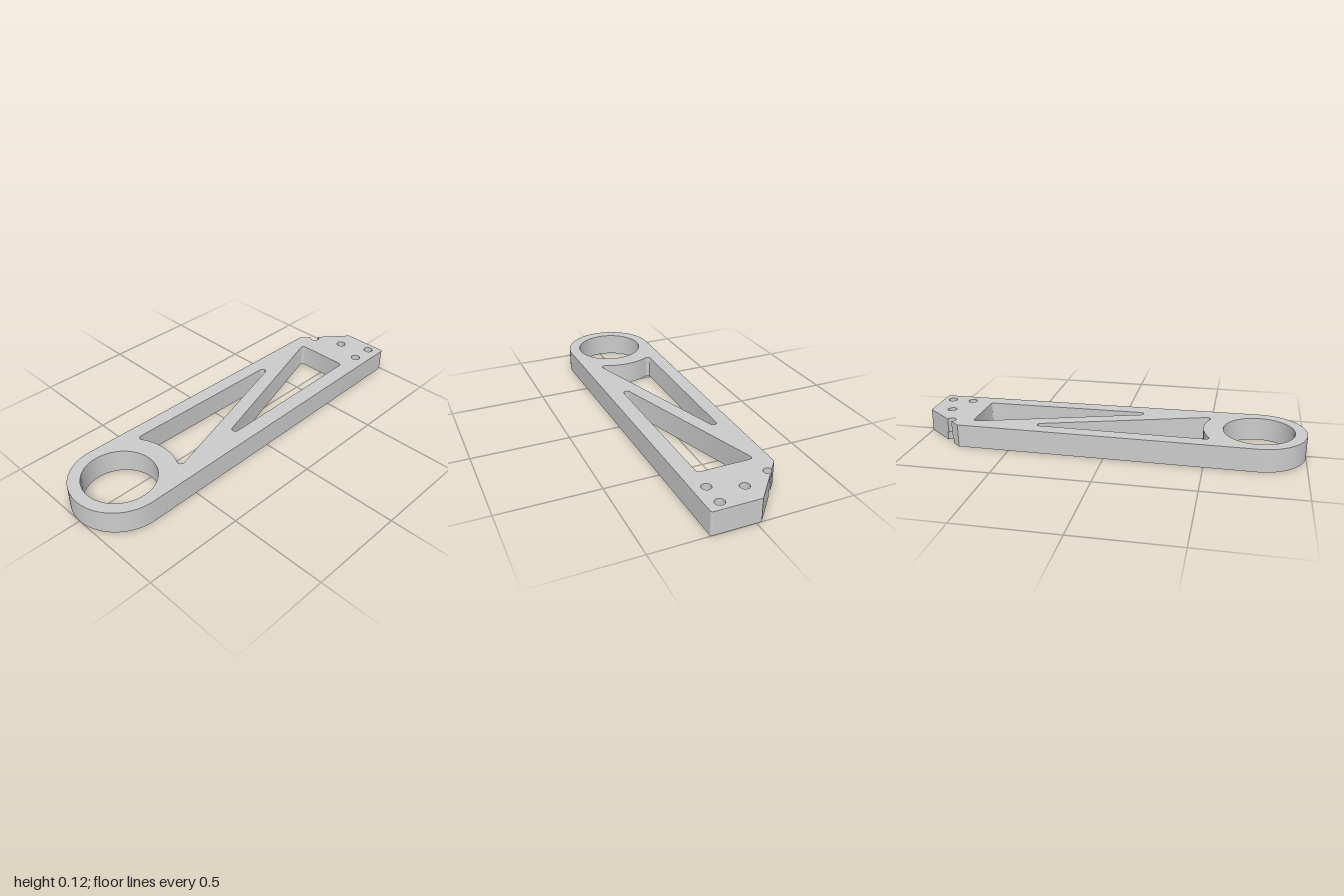
import * as THREE from 'three';
import { toCreasedNormals } from 'three/addons/utils/BufferGeometryUtils.js';

const HEIGHT = 0.12, BORE_DEPTH = 0.043;
const RING = { x: -0.76, outer: 0.24, inner: 0.18, web: 0.28 };
const BOLTS = [[0.83, 0.152], [0.95, 0.152], [0.89, 0]];

// Closed path through [x, z, radius] corners, each rounded by its radius
function roundedLoop(corners) {
  const path = new THREE.Path();
  const n = corners.length;
  corners.forEach(([x, z, r = 0], i) => {
    const p = new THREE.Vector2(x, z);
    const [px, pz] = corners[(i + n - 1) % n];
    const [nx, nz] = corners[(i + 1) % n];
    const a = new THREE.Vector2(px, pz).sub(p).normalize();
    const b = new THREE.Vector2(nx, nz).sub(p).normalize();
    if (r === 0) {
      if (i === 0) path.moveTo(x, z); else path.lineTo(x, z);
      return;
    }
    const half = Math.acos(a.dot(b)) / 2;
    const t = r / Math.tan(half);
    const c = a.clone().add(b).normalize().multiplyScalar(r / Math.sin(half)).add(p);
    const s = a.multiplyScalar(t).add(p).sub(c);
    const e = b.multiplyScalar(t).add(p).sub(c);
    path.absarc(c.x, c.y, r, s.angle(), e.angle(), s.cross(e) < 0);
  });
  path.closePath();
  return path;
}

function circle(x, z, r) {
  return new THREE.Path().absarc(x, z, r, 0, Math.PI * 2, false);
}

// Triangular pocket whose short side follows the ring
function ringPocket() {
  const arc = [];
  for (let i = 0; i <= 16; i++) {
    const a = 0.46 - (0.92 * i) / 16;
    arc.push([RING.x + RING.web * Math.cos(a), RING.web * Math.sin(a)]);
  }
  return roundedLoop([
    ...arc, [-0.532, -0.162, 0.017], [0.458, -0.147, 0.017], [-0.526, 0.153, 0.017],
  ]);
}

// Triangular pocket beside the bolt pad
function padPocket() {
  return roundedLoop([[-0.255, 0.151, 0.018], [0.714, -0.149, 0.017], [0.714, 0.138, 0.017]]);
}

// Plan of the arm (x, z) with bolt holes and edge notch of radius r
function armPlan(r) {
  const tilt = 0.013;
  const start = new THREE.Vector2(0.77, -0.22), end = new THREE.Vector2(1, -0.025);
  const u = end.clone().sub(start).normalize();
  const normal = Math.atan2(-u.x, u.y);
  const notch = new THREE.Vector2(0.83, -0.153);
  const inset = u.cross(notch.clone().sub(start));
  const spread = Math.acos(inset / r);

  const shape = new THREE.Shape();
  shape.absarc(RING.x, 0, RING.outer, Math.PI / 2 - tilt, Math.PI * 1.5 + tilt, false);
  shape.lineTo(start.x, start.y);
  shape.absarc(notch.x, notch.y, r, normal - spread, normal + spread - Math.PI * 2, true);
  shape.lineTo(end.x, end.y);
  shape.lineTo(1, 0.205);
  shape.quadraticCurveTo(1, 0.2165, 0.988, 0.2168);
  shape.closePath();

  shape.holes.push(circle(RING.x, 0, RING.inner), ringPocket(), padPocket());
  for (const [x, z] of BOLTS) shape.holes.push(circle(x, z, r));
  return shape;
}

export function createModel() {
  const group = new THREE.Group();
  group.name = 'linkArm';
  const material = new THREE.MeshStandardMaterial({ color: 0xcccccc });

  function addLayer(name, holeRadius, bottom, top) {
    const geometry = new THREE.ExtrudeGeometry(armPlan(holeRadius), {
      depth: top - bottom, bevelEnabled: false, curveSegments: 24,
    });
    geometry.rotateX(Math.PI / 2);
    geometry.translate(0, top, 0);
    const mesh = new THREE.Mesh(toCreasedNormals(geometry, 0.5), material);
    mesh.name = name;
    group.add(mesh);
  }

  // Wide counterbores below, narrow bolt holes above
  addLayer('counterboredBase', 0.034, 0, BORE_DEPTH);
  addLayer('upperPlate', 0.024, BORE_DEPTH, HEIGHT);
  return group;
}
